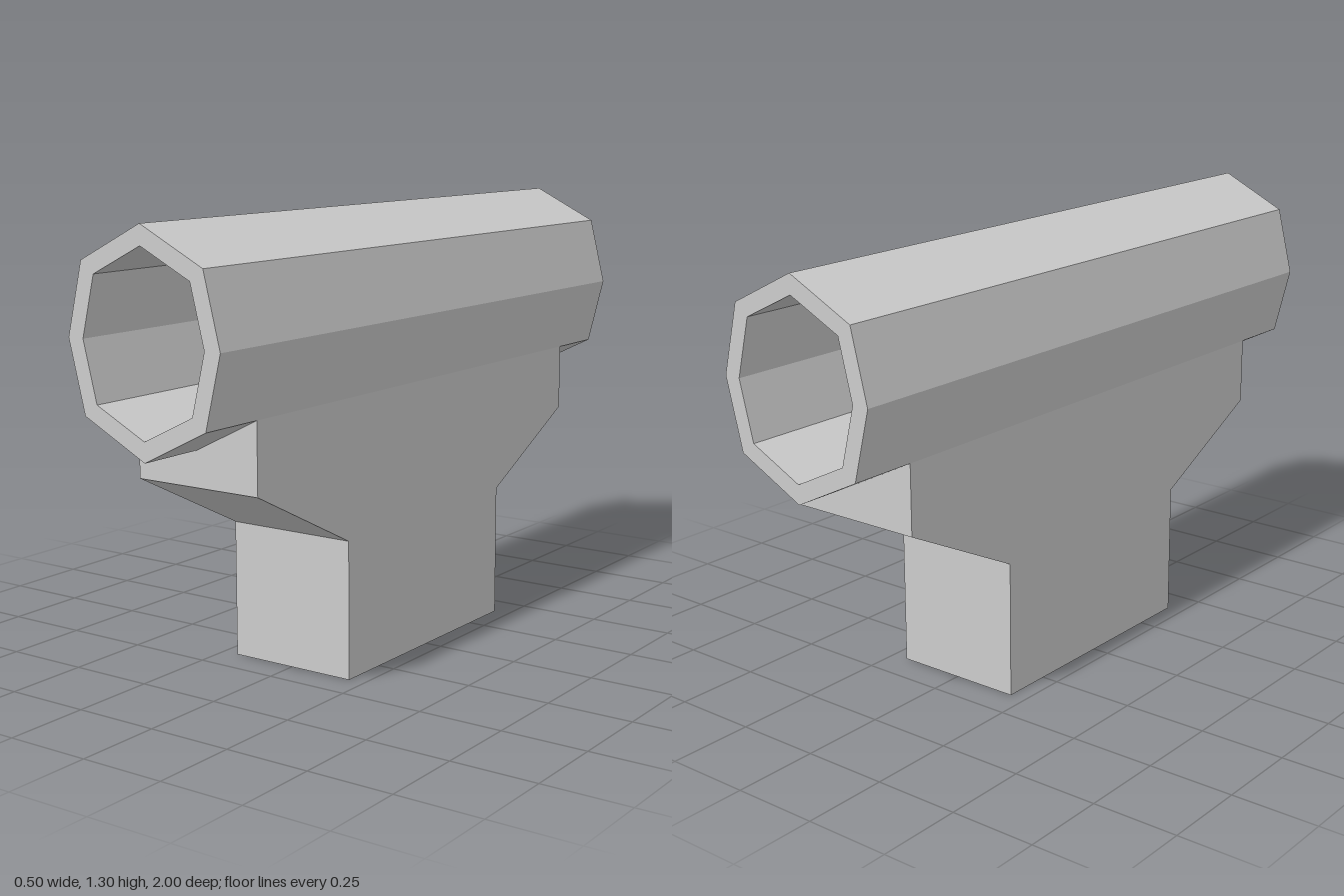
import * as THREE from 'three';

// Counterclockwise symmetric outline, given its right half from top to bottom
const mirrored = (half) => [
  ...half.map(([x, y]) => [-x, y]),
  ...half.slice(1, -1).reverse(),
].map(([x, y]) => new THREE.Vector2(x, y));

export function createModel() {
  const group = new THREE.Group();
  const material = new THREE.MeshStandardMaterial({ color: 0xcccccc, flatShading: true });

  const add = (name, geometry) => {
    geometry.computeVertexNormals();
    const mesh = new THREE.Mesh(geometry, material);
    mesh.name = name;
    group.add(mesh);
  };

  // Hollow eight-sided tube running front to back
  const outer = mirrored([[0, 1.3], [0.2, 1.2], [0.25, 1], [0.2, 0.8], [0, 0.7]]);
  const bore = mirrored([[0, 1.245], [0.158, 1.167], [0.2, 1], [0.158, 0.833], [0, 0.755]]);
  const ring = new THREE.Shape(outer);
  ring.holes.push(new THREE.Path(bore));
  const tube = new THREE.ExtrudeGeometry(ring, { depth: 2, bevelEnabled: false });
  tube.translate(0, 0, -1);
  add('tube', tube);

  // Pedestal: side profile that flares out under the tube, extruded across the width
  const profile = new THREE.Shape(mirrored([[0, 0.8], [0.8, 0.8], [0.8, 0.6], [0.4, 0.4], [0.4, 0], [0, 0]]));
  const pedestal = new THREE.ExtrudeGeometry(profile, { depth: 0.4, steps: 2, bevelEnabled: false });
  pedestal.translate(0, 0, -0.2);
  pedestal.rotateY(-Math.PI / 2);

  // Lower the middle of the top edge so the pedestal cradles the tube's underside
  const pos = pedestal.attributes.position;
  for (let i = 0; i < pos.count; i++) {
    if (pos.getY(i) > 0.79 && Math.abs(pos.getX(i)) < 0.01) pos.setY(i, 0.7);
  }
  add('pedestal', pedestal);

  return group;
}
